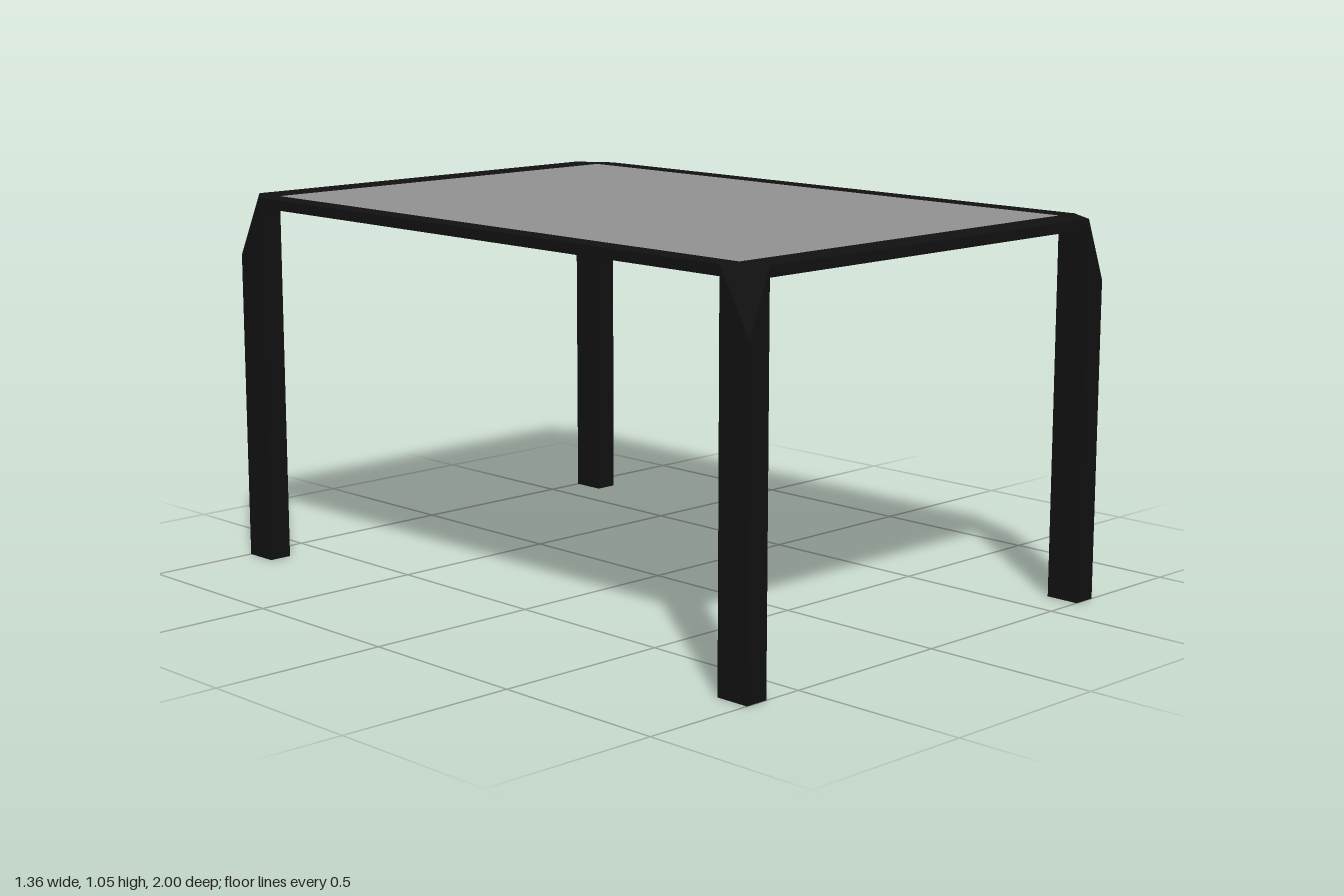
import * as THREE from 'three';
import { ConvexGeometry } from 'three/addons/geometries/ConvexGeometry.js';

export function createModel() {
  const table = new THREE.Group();
  table.name = 'table';
  const frameMat = new THREE.MeshStandardMaterial({ color: 0x111111 });
  const panelMat = new THREE.MeshStandardMaterial({ color: 0x929292 });

  // outer and inner half sizes, rail underside, top, and where the corner bevel begins
  const X = 0.68, Z = 1, xi = 0.613, zi = 0.902;
  const under = 1.022, top = 1.05, bevel = 0.88;

  const box = (name, w, d, x, z, low, mat) => {
    const m = new THREE.Mesh(new THREE.BoxGeometry(w, top - low, d), mat);
    m.position.set(x, (top + low) / 2, z);
    m.name = name;
    table.add(m);
  };

  // inset top panel, filling the frame
  box('topPanel', 2 * xi, 2 * zi, 0, 0, 1.02, panelMat);

  // rails between the corners
  for (const s of [1, -1]) {
    box(s > 0 ? 'frontRail' : 'backRail', 2 * xi, Z - zi, 0, s * (Z + zi) / 2, under, frameMat);
    box(s > 0 ? 'leftRail' : 'rightRail', X - xi, 2 * zi, s * (X + xi) / 2, 0, under, frameMat);
  }

  // legs, each with the outer top corner sliced off by a slanted triangle
  for (const sx of [1, -1]) for (const sz of [1, -1]) {
    const corners = [
      [xi, 0, zi], [X, 0, zi], [X, 0, Z], [xi, 0, Z],
      [X, bevel, Z], [xi, top, zi], [X, top, zi], [xi, top, Z],
    ].map(([x, y, z]) => new THREE.Vector3(sx * x, y, sz * z));
    const leg = new THREE.Mesh(new ConvexGeometry(corners), frameMat);
    leg.name = (sz > 0 ? 'front' : 'back') + (sx > 0 ? 'Left' : 'Right') + 'Leg';
    table.add(leg);
  }
  return table;
}
